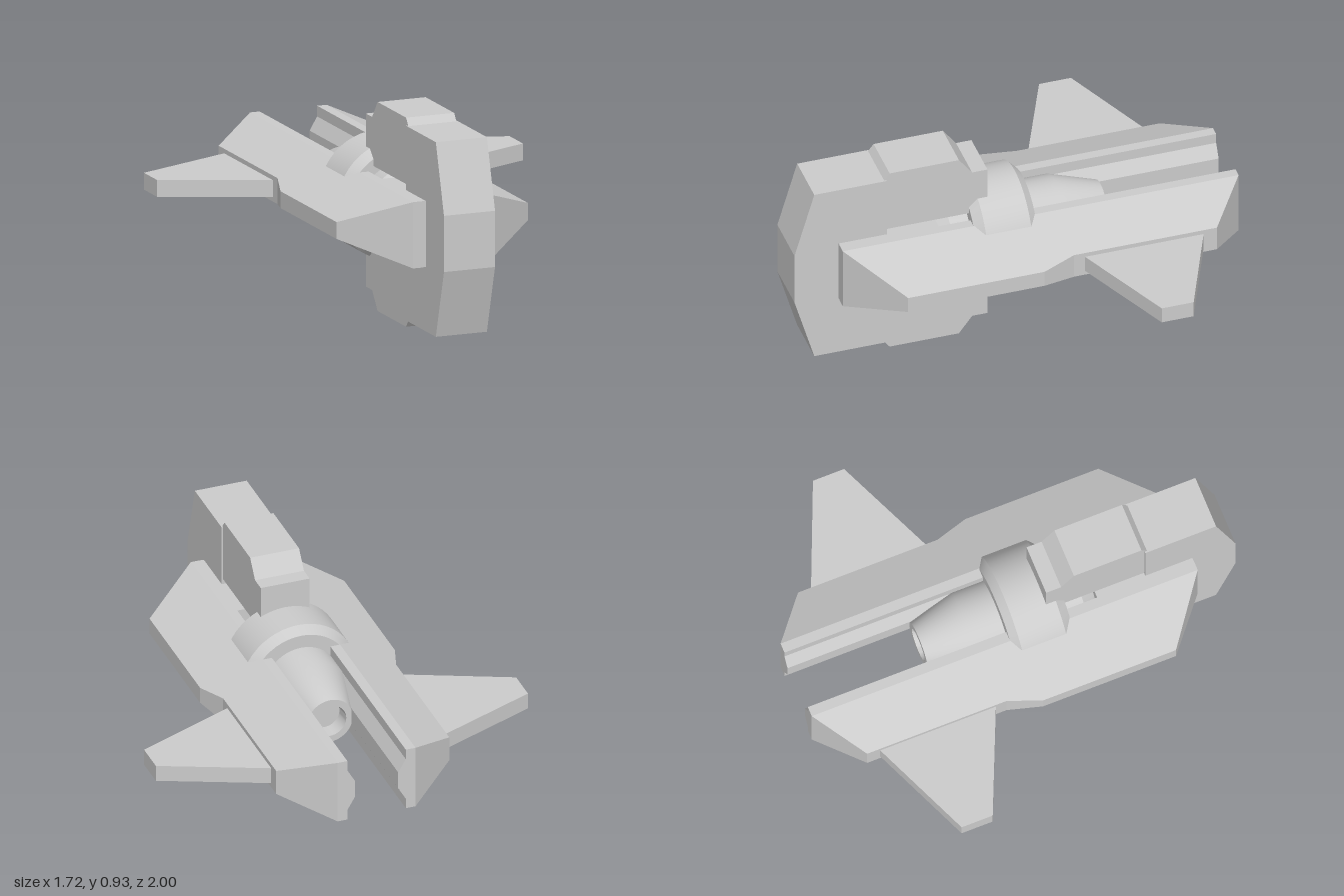
import * as THREE from 'three';
import { toCreasedNormals } from 'three/addons/utils/BufferGeometryUtils.js';

const flat = new THREE.MeshStandardMaterial({ color: 0xcccccc, flatShading: true });
const smooth = new THREE.MeshStandardMaterial({ color: 0xcccccc });

function add(parent, name, geometry, material = flat) {
  const mesh = new THREE.Mesh(geometry, material);
  mesh.name = name;
  parent.add(mesh);
  return mesh;
}

// Extrude a polygon symmetrically about its own plane
function plate(points, depth) {
  const shape = new THREE.Shape(points.map(([a, b]) => new THREE.Vector2(a, b)));
  return new THREE.ExtrudeGeometry(shape, { depth, bevelEnabled: false }).translate(0, 0, -depth / 2);
}

// Side profile (z, y) given a width in x
const sidePlate = (points, width) => plate(points, width).rotateY(-Math.PI / 2);

// Profile (radius, z) spun about the z axis
function spun(points) {
  const g = new THREE.LatheGeometry(points.map(([r, z]) => new THREE.Vector2(r, z)), 48);
  return toCreasedNormals(g.rotateX(Math.PI / 2), 0.4);
}

// Cross-section of a side hull for a given outer reach
function hullSection(reach) {
  const y = 0.1475 - 0.11 * (reach - 0.18) / 0.27;
  return [
    [0.18, -0.1475], [reach, -y], [reach, y], [0.18, 0.1475],
    [0.135, 0.1475], [0.135, 0.1], [0.1, 0.04], [0.1, -0.04], [0.135, -0.1], [0.135, -0.1475],
  ];
}

// Join hull sections from back to front
function hullGeometry() {
  const stations = [[-1, 0.18], [-0.83, 0.4], [-0.18, 0.4], [-0.03, 0.45], [0.59, 0.45], [0.8, 0.18]];
  const position = [];
  const index = [];
  for (const [z, reach] of stations) {
    for (const [x, y] of hullSection(reach)) position.push(x, y, z);
  }
  const n = hullSection(0.18).length;
  for (let i = 0; i < stations.length - 1; i++) {
    for (let j = 0; j < n; j++) {
      const a = i * n + j;
      const b = i * n + (j + 1) % n;
      index.push(a, b, b + n, a, b + n, a + n);
    }
  }
  // End caps, without the collapsed outer corners
  const ring = [0, 3, 4, 5, 6, 7, 8, 9];
  const section = hullSection(0.18);
  const outline = ring.map((k) => new THREE.Vector2(...section[k]));
  const front = (stations.length - 1) * n;
  for (const [a, b, c] of THREE.ShapeUtils.triangulateShape(outline, [])) {
    index.push(front + ring[a], front + ring[b], front + ring[c]);
    index.push(ring[a], ring[c], ring[b]);
  }
  const g = new THREE.BufferGeometry();
  g.setAttribute('position', new THREE.Float32BufferAttribute(position, 3));
  g.setIndex(index);
  const out = g.toNonIndexed();
  out.computeVertexNormals();
  return out;
}

export function createModel() {
  const model = new THREE.Group();
  model.name = 'spacecraft';
  const body = new THREE.Group();
  body.name = 'body';
  body.position.y = 0.466;
  model.add(body);

  // Tall wedge-nosed prow
  add(body, 'prow', sidePlate([
    [0.58, -0.433], [0.91, -0.433], [1, -0.125], [1, 0.125], [0.91, 0.433], [0.58, 0.433],
  ], 0.24));

  // Block joining the prow and the two hulls
  add(body, 'core', new THREE.BoxGeometry(0.28, 0.294, 0.45).translate(0, 0, 0.574));

  // Engine barrel with hollow tail nozzle, and its collar
  add(body, 'engine', spun([
    [0, -0.36], [0.07, -0.36], [0.075, -0.43], [0.105, -0.43],
    [0.17, -0.22], [0.17, 0.29], [0.12, 0.36], [0, 0.36],
  ]), smooth);
  add(body, 'collar', spun([
    [0, -0.075], [0.23, -0.075], [0.265, -0.04], [0.265, 0.165], [0.23, 0.205], [0, 0.205],
  ]), smooth);

  // The sides and the top and bottom are half-turn copies of each other
  const hull = hullGeometry();
  const fin = plate([[0.37, -0.782], [0.86, -0.575], [0.86, -0.43], [0.37, -0.217]], 0.075).rotateX(Math.PI / 2);
  const block = sidePlate([
    [0.12, 0.17], [0.59, 0.17], [0.59, 0.433], [0.565, 0.465], [0.25, 0.465], [0.19, 0.385], [0.12, 0.385],
  ], 0.226);
  for (const half of [0, 1]) {
    const side = new THREE.Group();
    side.name = half ? 'rightSide' : 'leftSide';
    side.rotation.z = half * Math.PI;
    add(side, 'hull', hull);
    add(side, 'fin', fin);
    add(side, half ? 'lowerBlock' : 'upperBlock', block);
    body.add(side);
  }
  return model;
}
